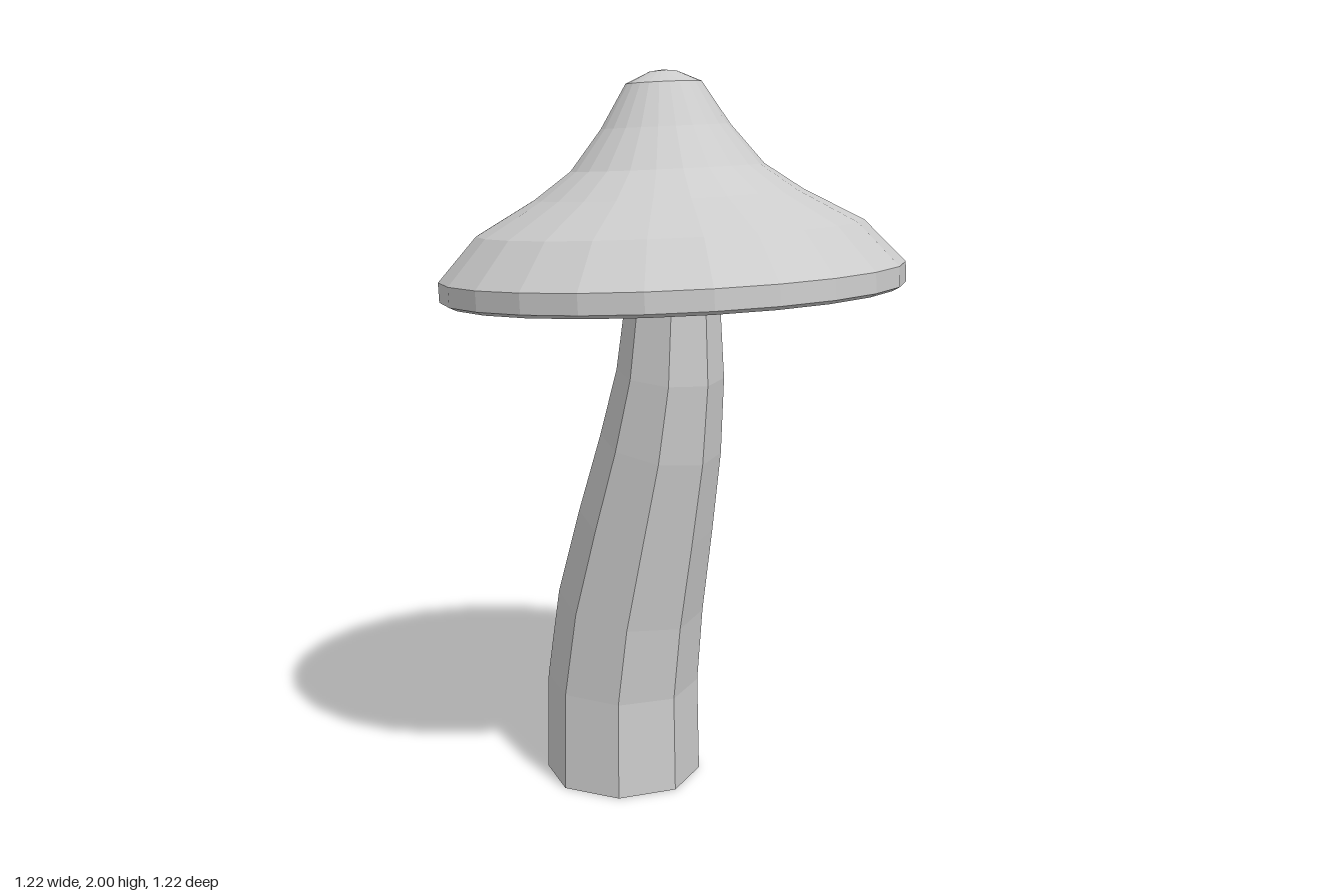
import * as THREE from 'three';

const material = new THREE.MeshStandardMaterial({ color: 0xcccccc, flatShading: true });

// Cap: 24-sided lathe, from the underside centre round the rim to the tip
function makeCap() {
  const profile = [
    [0, 0.02], [0.3, 0.012], [0.595, -0.01], // underside
    [0.615, 0], [0.615, 0.052], // rim
    [0.51, 0.165], [0.355, 0.25], [0.255, 0.32], [0.17, 0.425], // bell
    [0.1, 0.537], [0.035, 0.566], [0, 0.57], // tip
  ].map(([r, y]) => new THREE.Vector2(r, y));
  const cap = new THREE.Mesh(new THREE.LatheGeometry(profile, 24, Math.PI / 24), material);
  cap.name = 'cap';
  cap.position.set(0, 1.43, 0.005);
  cap.rotation.x = -0.06;
  return cap;
}

// Stem: eight-sided column bent along a row of tapering rings
function makeStem() {
  // centre x, y, z, radius, forward tilt
  const rings = [
    [0.013, 0, -0.205, 0.222, 0],
    [0.013, 0.28, -0.205, 0.216, 0.03],
    [0.012, 0.52, -0.17, 0.205, 0.17],
    [0.01, 0.77, -0.107, 0.186, 0.2],
    [0.007, 1.0, -0.046, 0.165, 0.2],
    [0.003, 1.2, -0.006, 0.145, 0.1],
    [0, 1.445, 0.008, 0.122, 0],
  ];
  const rows = rings.length - 1;
  const geometry = new THREE.CylinderGeometry(1, 1, 1, 8, rows, false, -0.06);
  const p = geometry.attributes.position;
  for (let i = 0; i < p.count; i++) {
    const [x, y, z, r, tilt] = rings[Math.round((p.getY(i) + 0.5) * rows)];
    const dz = p.getZ(i) * r;
    p.setXYZ(i, x + p.getX(i) * r, y - tilt * dz, z + dz);
  }
  geometry.computeVertexNormals();
  const stem = new THREE.Mesh(geometry, material);
  stem.name = 'stem';
  return stem;
}

export function createModel() {
  const mushroom = new THREE.Group();
  mushroom.name = 'mushroom';
  mushroom.add(makeStem(), makeCap());
  return mushroom;
}
